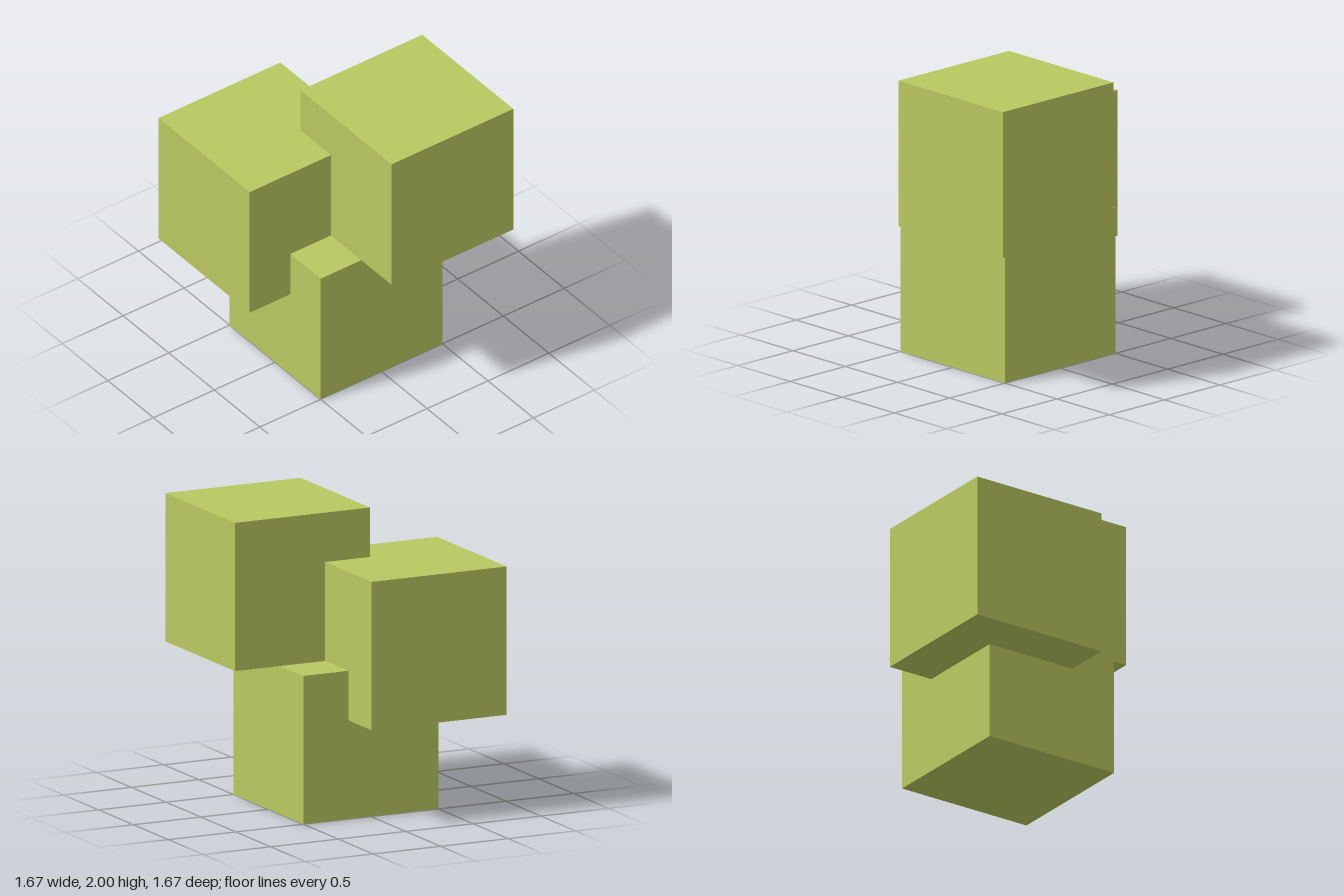
import * as THREE from 'three';

export function createModel() {
  const group = new THREE.Group();
  const green = new THREE.MeshStandardMaterial({ color: 0xb9c960 });
  green.name = 'olive green';
  const cube = new THREE.BoxGeometry(1, 1, 1);

  function addCube(name, x, y, z) {
    const mesh = new THREE.Mesh(cube, green);
    mesh.name = name;
    mesh.position.set(x, y, z);
    group.add(mesh);
  }

  // Three equal cubes, offset by thirds of an edge
  const third = 1 / 3;
  addCube('baseCube', 0, 0.5, 0);
  addCube('frontCube', -third, 0.5 + 2 * third, third);
  addCube('topCube', third, 1.5, -third);

  return group;
}
